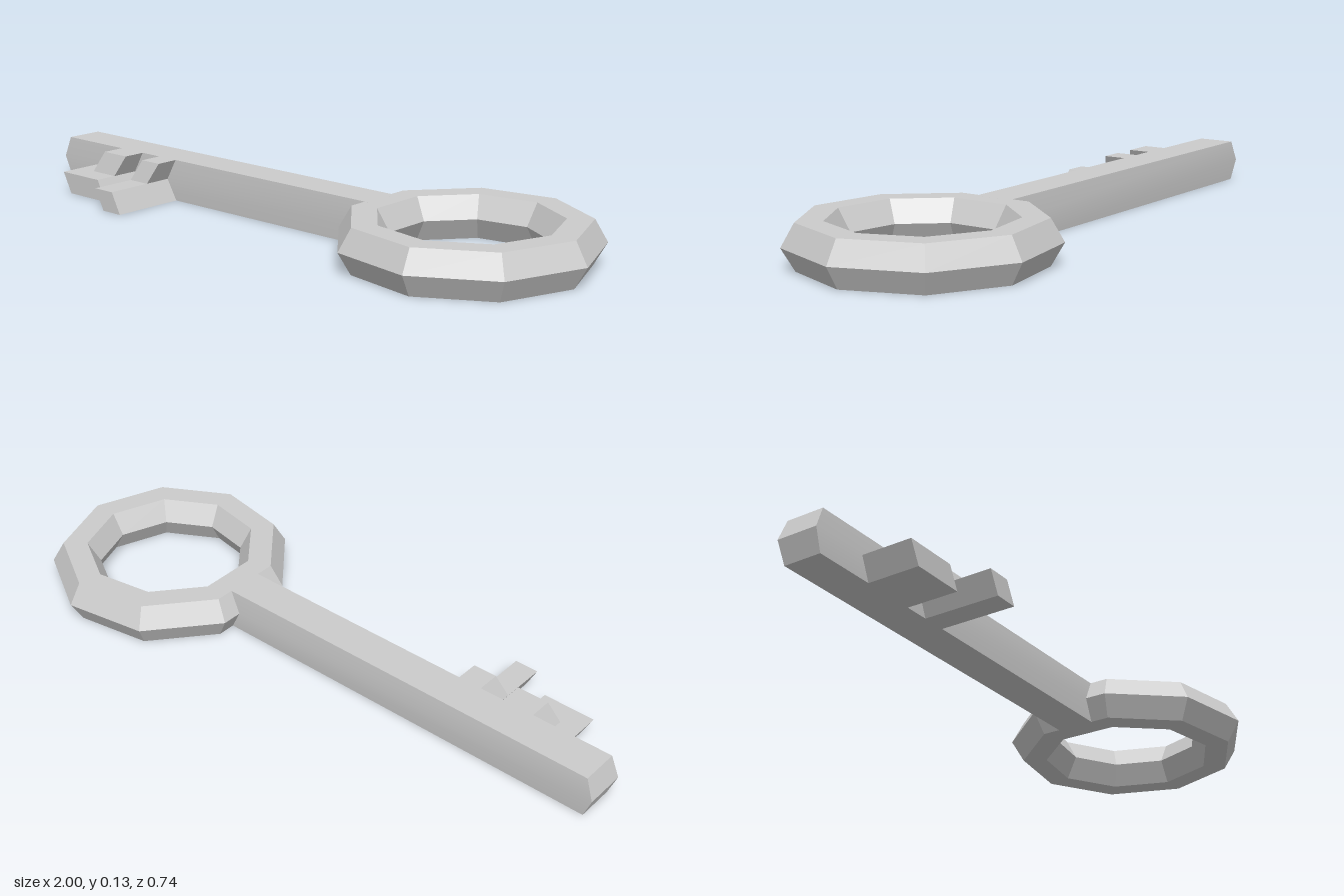
import * as THREE from 'three';
import { toCreasedNormals } from 'three/addons/utils/BufferGeometryUtils.js';

const H = 0.131, MID = H / 2;

// Box whose levels (listed bottom to top) are rectangles [y, x0, x1, z0, z1]
function stack(name, levels, material) {
  const n = levels.length - 1;
  const geo = new THREE.BoxGeometry(1, 1, 1, 1, n, 1);
  const p = geo.attributes.position;
  for (let i = 0; i < p.count; i++) {
    const [y, x0, x1, z0, z1] = levels[Math.round((p.getY(i) + 0.5) * n)];
    p.setXYZ(i, p.getX(i) < 0 ? x0 : x1, y, p.getZ(i) < 0 ? z0 : z1);
  }
  const mesh = new THREE.Mesh(toCreasedNormals(geo, 0.5), material);
  mesh.name = name;
  return mesh;
}

export function createModel() {
  const key = new THREE.Group();
  key.name = 'key';
  const material = new THREE.MeshStandardMaterial({ color: 0xcccccc });
  const flat = new THREE.MeshStandardMaterial({ color: 0xcccccc, flatShading: true });

  // Nine-sided ring handle with a hexagonal section
  const ring = new THREE.Mesh(new THREE.TorusGeometry(0.302, 0.0756, 6, 9).rotateX(Math.PI / 2), flat);
  ring.name = 'ringHandle';
  ring.position.set(0.622, MID, 0);
  key.add(ring);

  // Shaft with slightly swollen sides and a ridged tip
  key.add(stack('shaft', [
    [0, -0.975, 0.32, -0.06, 0.058],
    [MID, -1, 0.34, -0.066, 0.062],
    [H, -0.975, 0.32, -0.06, 0.058],
  ], material));

  // Teeth: long lower half and short upper half, slanted in opposite directions
  const slant = 0.034, zIn = 0.04;
  const tooth = (name, left, upperLeft, right, reach) => {
    const group = new THREE.Group();
    group.name = name;
    group.add(stack('lowerTooth', [
      [0, left + slant, right + slant, zIn, reach],
      [MID, left, right, zIn, reach],
    ], material));
    group.add(stack('upperTooth', [
      [MID, upperLeft, right, zIn, 0.15],
      [H, upperLeft + slant, right + slant, zIn, 0.13],
    ], material));
    key.add(group);
  };
  tooth('tipTooth', -0.82, -0.755, -0.655, 0.22);
  tooth('innerTooth', -0.578, -0.578, -0.503, 0.295);

  return key;
}
